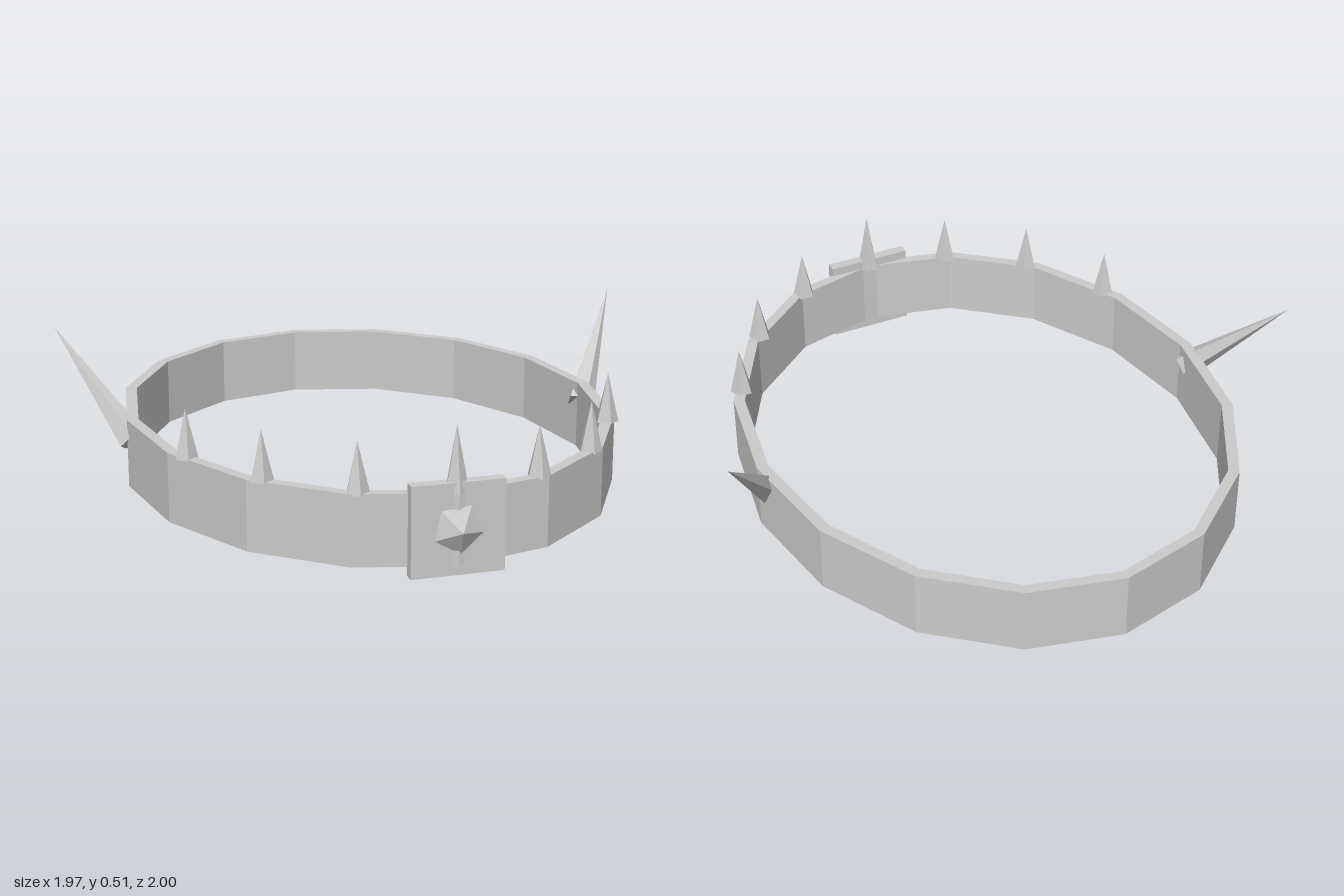
import * as THREE from 'three';

const material = new THREE.MeshStandardMaterial({ color: 0xcccccc, flatShading: true });

function add(parent, name, geometry) {
  const mesh = new THREE.Mesh(geometry, material);
  mesh.name = name;
  parent.add(mesh);
  return mesh;
}

// Points of a 16-sided oval
function oval(rx, rz) {
  return Array.from({ length: 16 }, (_, i) => {
    const a = (i / 16) * Math.PI * 2;
    return new THREE.Vector2(rx * Math.cos(a), rz * Math.sin(a));
  });
}

// Five-sided spike from the centre of its base to its tip
function addSpike(parent, name, base, tip, radius) {
  const from = new THREE.Vector3(...base);
  const axis = new THREE.Vector3(...tip).sub(from);
  const geometry = new THREE.ConeGeometry(radius, axis.length(), 5);
  geometry.translate(0, axis.length() / 2, 0);
  const mesh = add(parent, name, geometry);
  mesh.position.copy(from);
  mesh.quaternion.setFromUnitVectors(new THREE.Vector3(0, 1, 0), axis.normalize());
  return mesh;
}

export function createModel() {
  const group = new THREE.Group();
  group.name = 'spikedCirclet';

  // Oval band
  const shape = new THREE.Shape(oval(0.8, 0.98));
  shape.holes.push(new THREE.Path(oval(0.762, 0.945).reverse()));
  const band = new THREE.ExtrudeGeometry(shape, { depth: 0.225, bevelEnabled: false });
  band.rotateX(-Math.PI / 2).translate(0, 0.03, -0.02);
  add(group, 'band', band);

  // Front plate with a faceted gem
  add(group, 'frontPlate', new THREE.BoxGeometry(0.29, 0.285, 0.037).translate(0, 0.1425, 0.937));
  const gem = new THREE.ConeGeometry(0.098, 0.055, 5);
  gem.rotateY(0.1).rotateX(Math.PI / 2).translate(0, 0.143, 0.9725);
  add(group, 'gem', gem);

  // Upright spikes along the front rim
  addSpike(group, 'centreSpike', [0, 0.25, 0.93], [0, 0.455, 0.93], 0.038);
  for (const side of [-1, 1]) {
    const label = side > 0 ? 'left' : 'right';
    [[0.28, 0.865], [0.52, 0.68], [0.69, 0.405]].forEach(([x, z], i) => {
      addSpike(group, `${label}RimSpike${i + 1}`, [side * x, 0.25, z], [side * x, 0.41, z], 0.038);
    });
    // Long swept-back side spike
    addSpike(group, `${label}SideSpike`, [side * 0.78, 0.18, -0.035], [side * 0.985, 0.51, -0.31], 0.048);
  }
  return group;
}
